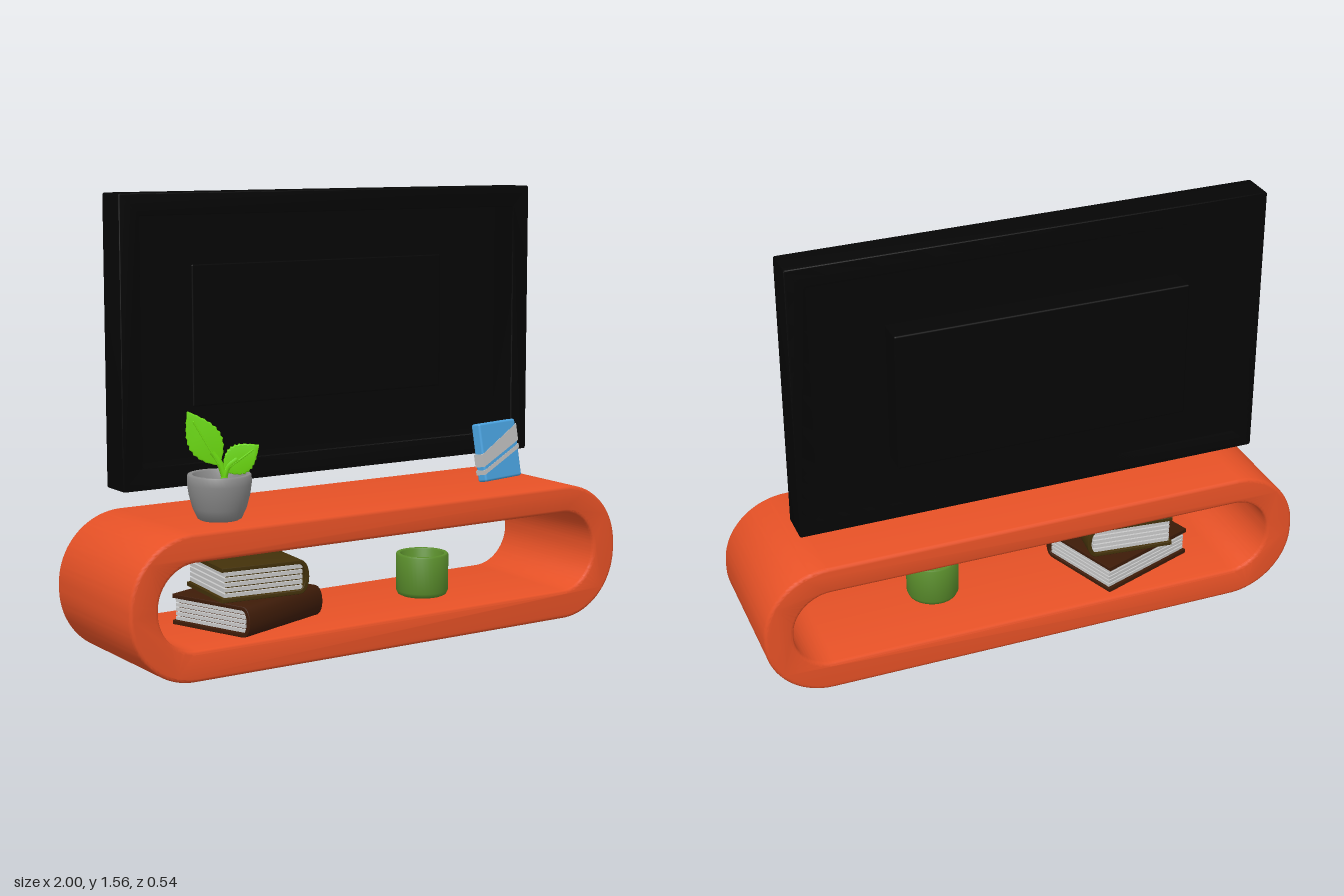
import * as THREE from 'three';
import { toCreasedNormals } from 'three/addons/utils/BufferGeometryUtils.js';
import { RoundedBoxGeometry } from 'three/addons/geometries/RoundedBoxGeometry.js';

const material = (name, color, side = THREE.FrontSide) => {
  const m = new THREE.MeshStandardMaterial({ color, side });
  m.name = name;
  return m;
};

export function createModel() {
  const orange = material('orange lacquer', 0xe65126);
  const black = material('black plastic', 0x050505);
  const grey = material('grey ceramic', 0x8a8a8a, THREE.DoubleSide);
  const leafGreen = material('leaf green', 0x6ad80e);
  const blue = material('blue', 0x4aa3e0);
  const silver = material('silver stripe', 0xbcbcbc);
  const cupGreen = material('cup green', 0x598c2b, THREE.DoubleSide);
  const brown = material('dark brown cover', 0x3d1b08);
  const olive = material('olive brown cover', 0x43310a);
  const paper = material('paper', 0xc8c8c8);

  const model = new THREE.Group();
  model.name = 'mediaStand';

  const add = (parent, name, geometry, mat, x = 0, y = 0, z = 0) => {
    const mesh = new THREE.Mesh(geometry, mat);
    mesh.name = name;
    mesh.position.set(x, y, z);
    parent.add(mesh);
    return mesh;
  };
  const group = (name, x, y, z) => {
    const g = new THREE.Group();
    g.name = name;
    g.position.set(x, y, z);
    model.add(g);
    return g;
  };
  const box = (w, h, d, r = 0.006) => new RoundedBoxGeometry(w, h, d, 2, r);

  // Extrusion centred in z, with an inward bevel and crisp edges
  const extrude = (shape, depth, bevel = 0, curveSegments = 20) => {
    const g = new THREE.ExtrudeGeometry(shape, {
      depth: depth - 2 * bevel, curveSegments, bevelEnabled: bevel > 0,
      bevelThickness: bevel, bevelSize: bevel, bevelOffset: -bevel, bevelSegments: 3,
    });
    g.translate(0, 0, -depth / 2 + bevel);
    return toCreasedNormals(g, 0.6);
  };

  // Rounded rectangle outline
  const roundRect = (Path, x0, y0, x1, y1, r) => {
    const p = new Path();
    p.moveTo(x0 + r, y0);
    p.lineTo(x1 - r, y0);
    p.absarc(x1 - r, y0 + r, r, -Math.PI / 2, 0);
    p.lineTo(x1, y1 - r);
    p.absarc(x1 - r, y1 - r, r, 0, Math.PI / 2);
    p.lineTo(x0 + r, y1);
    p.absarc(x0 + r, y1 - r, r, Math.PI / 2, Math.PI);
    p.lineTo(x0, y0 + r);
    p.absarc(x0 + r, y0 + r, r, Math.PI, Math.PI * 1.5);
    return p;
  };
  const frame = (outer, inner) => {
    const s = roundRect(THREE.Shape, ...outer);
    s.holes.push(roundRect(THREE.Path, ...inner));
    return s;
  };

  // Hollow pill-shaped cabinet
  add(model, 'cabinet', extrude(
    frame([-1, 0, 1, 0.49, 0.235], [-0.897, 0.104, 0.897, 0.393, 0.14]), 0.53, 0.012), orange, 0, 0, 0.005);

  // Television: deep open bezel, back panel and a housing set through it
  const tv = group('television', -0.008, 1.07, 0);
  add(tv, 'bezel', extrude(
    frame([-0.843, -0.49, 0.843, 0.492, 0.008], [-0.769, -0.413, 0.771, 0.417, 0.004]), 0.12, 0.004), black, 0, 0, -0.117);
  add(tv, 'backPanel', new THREE.BoxGeometry(1.67, 0.965, 0.012), black, 0, 0.001, -0.171);
  add(tv, 'rearHousing', box(1.04, 0.487, 0.108), black, 0, 0.002, -0.216);

  // Turned pieces: plant pot and cup
  const lathe = (points) => toCreasedNormals(
    new THREE.LatheGeometry(points.map(([r, y]) => new THREE.Vector2(r, y)), 40), 0.7);
  const plant = group('pottedPlant', -0.577, 0.49, 0.1);
  add(plant, 'pot', lathe([
    [0, 0], [0.066, 0], [0.074, 0.005], [0.09, 0.04], [0.102, 0.085], [0.107, 0.12], [0.107, 0.148],
    [0.104, 0.152], [0.09, 0.152], [0.087, 0.148], [0.085, 0.11], [0.078, 0.08], [0, 0.08],
  ]), grey);
  add(model, 'cup', lathe([
    [0, 0], [0.078, 0], [0.088, 0.005], [0.094, 0.018], [0.095, 0.147], [0.092, 0.152],
    [0.08, 0.152], [0.077, 0.148], [0.076, 0.03], [0.07, 0.02], [0, 0.02],
  ]), cupGreen, 0.305, 0.104, 0.02);

  // Leaves with toothed edges lie in one upright plane turned about the pot axis
  const foliage = new THREE.Group();
  foliage.name = 'foliage';
  foliage.rotation.y = -0.41;
  plant.add(foliage);
  const addLeaf = (name, x, y, length, width, angle, stem) => {
    const steps = 20, outline = [];
    for (let i = 0; i < 2 * steps; i++) {
      const side = i < steps ? 1 : -1;
      const t = side > 0 ? i / steps : 2 - i / steps;
      const half = width / 2 * Math.sin(Math.PI * Math.pow(t, 0.85)) * (i % 2 ? 1 : 0.91);
      outline.push(new THREE.Vector2(side * half, t * length));
    }
    const leaf = add(foliage, name, extrude(new THREE.Shape(outline), 0.014, 0.003), leafGreen, x, y, 0);
    leaf.rotation.z = angle;
    add(leaf, 'midrib', box(0.006, length * 0.8, 0.019, 0.002), leafGreen, 0, length * 0.42, 0);
    const curve = new THREE.CatmullRomCurve3(stem.map(([u, v]) => new THREE.Vector3(u, v, 0)));
    add(foliage, name + 'Stem', new THREE.TubeGeometry(curve, 12, 0.011, 8), leafGreen);
  };
  addLeaf('tallLeaf', 0, 0.18, 0.21, 0.118, 0.52, [[0.012, 0.075], [0.018, 0.13], [0, 0.19], [-0.025, 0.225]]);
  addLeaf('shortLeaf', 0.015, 0.16, 0.145, 0.105, -0.95, [[0.012, 0.075], [0.014, 0.13], [0.03, 0.175], [0.06, 0.2]]);

  // Book: C-shaped cover with a rounded spine on +z, boards and page leaves
  const addBook = (name, mat, length, width, height, x, y, z, turn) => {
    const book = group(name, x, y, z);
    book.rotation.y = turn;
    const t = 0.014, r = height / 2, w = width / 2;
    const s = new THREE.Shape();
    s.moveTo(-w, 0);
    s.lineTo(w - r * 0.7, 0);
    s.bezierCurveTo(w + 0.005, 0, w + 0.005, height, w - r * 0.7, height);
    s.lineTo(-w, height);
    s.lineTo(-w, height - t);
    s.lineTo(w - r * 0.75, height - t);
    s.bezierCurveTo(w - t, height - t, w - t, t, w - r * 0.75, t);
    s.lineTo(-w, t);
    s.closePath();
    const cover = add(book, 'cover', extrude(s, length, 0.002, 10), mat);
    cover.rotation.y = -Math.PI / 2;
    const inner = height - 2 * t, count = 5, pitch = inner / count;
    add(book, 'binding', new THREE.BoxGeometry(length - 0.03, inner, width - 0.055), mat, 0, height / 2, -0.008);
    for (let i = 0; i < count; i++) {
      add(book, 'pages', new THREE.BoxGeometry(length - 0.012, pitch * 0.72, width - 0.04),
        paper, 0, t + pitch * (i + 0.5), -0.01);
    }
  };
  addBook('lowerBook', brown, 0.395, 0.345, 0.105, -0.414, 0.104, 0.008, 0.35);
  addBook('upperBook', olive, 0.3, 0.33, 0.118, -0.41, 0.21, 0, Math.PI / 2 - 0.1);

  // Small striped case leaning back on the cabinet
  const striped = group('stripedCase', 0.508, 0.635, 0.189);
  striped.rotation.set(-0.18, 0.2, 0, 'YXZ');
  add(striped, 'caseBody', box(0.194, 0.206, 0.04, 0.008), blue);
  const addStripe = (name, l0, l1, r0, r1) => {
    const s = new THREE.Shape();
    s.moveTo(-0.0985, l0);
    s.lineTo(0.0985, r0);
    s.lineTo(0.0985, r1);
    s.lineTo(-0.0985, l1);
    s.closePath();
    add(striped, name, extrude(s, 0.043), silver);
  };
  addStripe('wideStripe', -0.05, -0.005, 0.025, 0.085);
  addStripe('thinStripe', -0.078, -0.062, -0.003, 0.013);

  return model;
}
